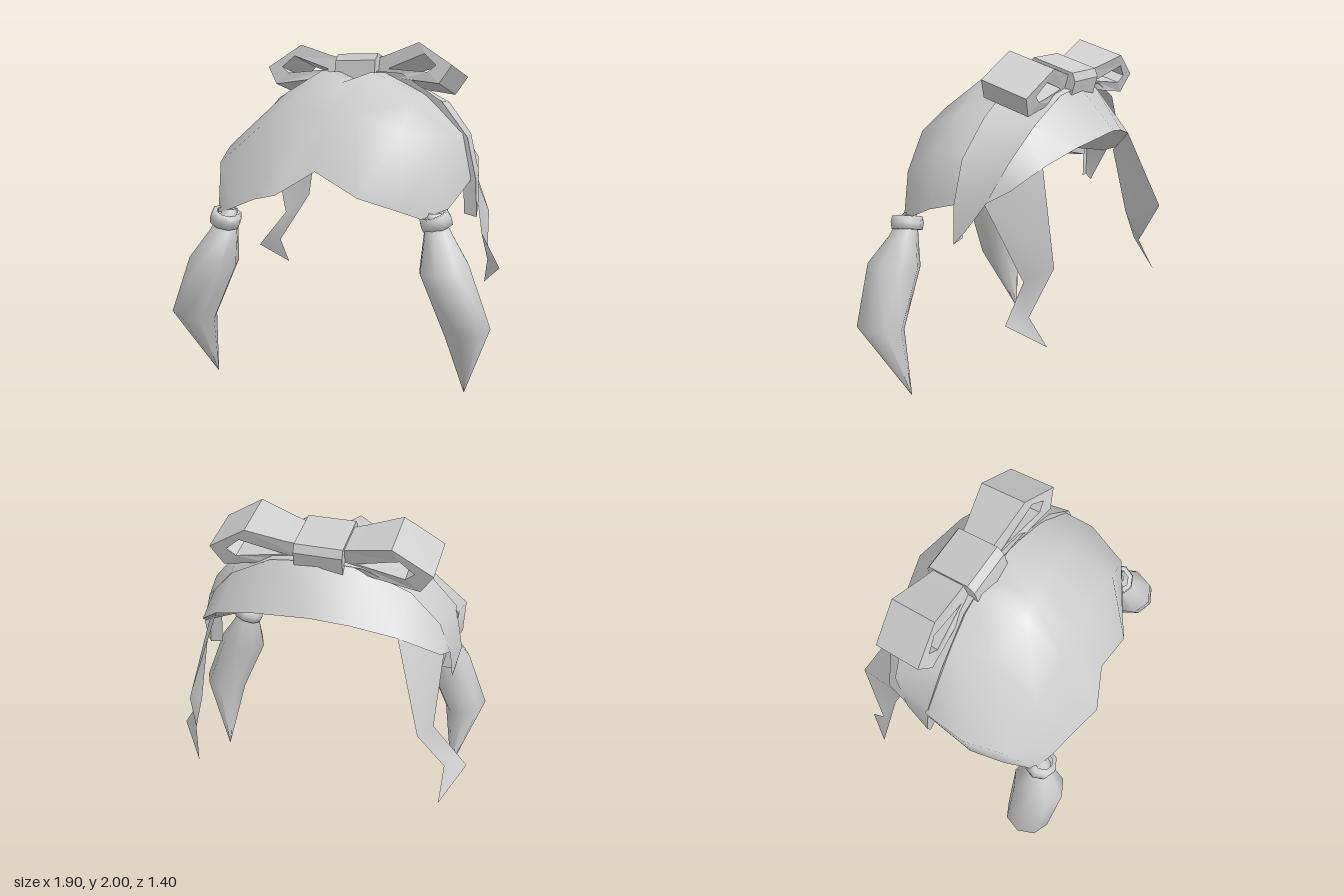
import * as THREE from 'three';

const hairGrey = new THREE.MeshStandardMaterial({ color: 0xcccccc, side: THREE.DoubleSide });
hairGrey.name = 'hairGrey';

function add(parent, name, geometry) {
  const m = new THREE.Mesh(geometry, hairGrey);
  m.name = name;
  parent.add(m);
  return m;
}

function surface(points, index) {
  const g = new THREE.BufferGeometry();
  g.setAttribute('position', new THREE.Float32BufferAttribute(points.flat(), 3));
  g.setIndex(index);
  g.computeVertexNormals();
  return g;
}

// Smooth sheet through rows of points, each row the same length
function loft(rows, closed = false) {
  const n = rows[0].length, index = [];
  for (let r = 0; r < rows.length - 1; r++) {
    for (let c = 0; c < (closed ? n : n - 1); c++) {
      const a = r * n + c, b = r * n + (c + 1) % n;
      index.push(a, a + n, b, b, a + n, b + n);
    }
  }
  return surface(rows.flat(), index);
}

// Fan of triangles from a centre point to a line of points
function fan(centre, line) {
  const index = [];
  for (let i = 1; i < line.length; i++) index.push(0, i + 1, i);
  return surface([centre, ...line], index);
}

// Arches from right to left, running from the crown to the fringe
const capRows = [
  [[-.75, 1.2, -.13], [-.78, 1.42, -.13], [-.45, 1.7, -.16], [-.16, 1.82, -.18], [-.04, 1.77, -.18],
    [.13, 1.82, -.17], [.41, 1.69, -.14], [.64, 1.48, -.08], [.7, 1.22, -.05]],
  [[-.79, 1.17, .15], [-.8, 1.37, .12], [-.42, 1.7, .1], [-.16, 1.84, .14], [-.04, 1.77, .13],
    [.13, 1.83, .1], [.4, 1.66, .12], [.64, 1.48, .12], [.69, 1.16, .15]],
  [[-.74, 1.1, .34], [-.73, 1.3, .36], [-.45, 1.52, .38], [-.2, 1.62, .39], [-.04, 1.6, .37],
    [.16, 1.61, .38], [.4, 1.52, .38], [.6, 1.33, .35], [.66, 1.09, .29]],
  [[-.67, 1.02, .5], [-.55, 1.06, .55], [-.38, 1.13, .6], [-.22, 1.17, .65], [-.02, 1.3, .56],
    [.24, 1.17, .58], [.42, 1.1, .48], [.55, 1.05, .42], [.65, 1.06, .36]],
];

// Hair band: front and back edges of the arch
const bandFront = [[-.78, 1.06, -.13], [-.81, 1.2, -.12], [-.76, 1.46, -.12], [-.58, 1.66, -.13], [-.3, 1.82, -.15],
  [-.04, 1.84, -.15], [.24, 1.82, -.12], [.5, 1.66, -.09], [.67, 1.46, -.05], [.73, 1.22, -.03], [.74, 1, -.03]];
const bandBack = [[-.77, 1.03, -.17], [-.76, 1.24, -.28], [-.7, 1.46, -.37], [-.54, 1.64, -.4], [-.28, 1.76, -.42],
  [-.04, 1.78, -.42], [.22, 1.76, -.41], [.46, 1.64, -.38], [.62, 1.46, -.31], [.7, 1.24, -.21], [.73, 1.08, -.1]];

// Back hair: upper edge under the band, lower free edge
const backTop = [[-.74, 1.27, -.17], [-.73, 1.42, -.25], [-.54, 1.62, -.32], [-.28, 1.76, -.38], [-.04, 1.78, -.4],
  [.22, 1.76, -.38], [.47, 1.62, -.3], [.63, 1.44, -.2], [.69, 1.24, -.07]];
const backRim = [[-.76, 1.24, -.26], [-.72, 1.3, -.42], [-.5, 1.43, -.53], [-.25, 1.5, -.58], [-.04, 1.54, -.62],
  [.3, 1.5, -.55], [.53, 1.43, -.46], [.66, 1.32, -.34], [.71, 1.22, -.17]];

function addPigtail(parent, side, dy, dz) {
  const group = new THREE.Group();
  group.name = side > 0 ? 'leftPigtail' : 'rightPigtail';
  // Rings: centre x, y, centre z, radius x, radius z
  const rings = [[.6, 1.08, .35, .04, .04], [.615, 1.03, .36, .065, .065], [.635, .96, .37, .085, .085],
    [.68, .79, .41, .14, .16], [.82, .45, .42, .13, .14], [.765, .04, .26, .002, .002]];
  const sides = 8;
  const rows = rings.map(([cx, y, cz, rx, rz]) => Array.from({ length: sides }, (_, i) => {
    const a = i / sides * Math.PI * 2;
    const px = cx + Math.cos(a) * rx;
    // Middle rings dip towards the inside
    const tilt = y < .9 && y > .1 ? Math.cos(a) * .03 : 0;
    return [side * px, y + tilt + dy, cz + Math.sin(a) * rz + dz];
  }));
  add(group, 'pigtailHair', loft(rows, true));
  // Hair tie
  const profile = [[.06, -.038], [.088, -.038], [.095, 0], [.088, .038], [.06, .038]].map(p => new THREE.Vector2(...p));
  const tie = add(group, 'hairTie', new THREE.LatheGeometry(profile, 8));
  tie.position.set(side * .615, 1.03 + dy, .355 + dz * 1.2);
  tie.rotation.set(.15, 0, side * .33);
  parent.add(group);
}

function addBow(parent) {
  const bow = new THREE.Group();
  bow.name = 'bow';
  bow.position.set(-.065, 1.84, -.14);
  bow.rotation.set(-.27, -.07, 0);
  const depth = .29;
  const outline = [[.08, .07], [.2, .1], [.4, .16], [.62, .02], [.55, -.09], [.3, -.055], [.08, -.03]];
  const hole = [[.2, .01], [.44, .09], [.52, .02], [.47, -.02]];
  for (const side of [1, -1]) {
    const pts = list => list.map(([x, y]) => new THREE.Vector2(side * x, y));
    const shape = new THREE.Shape(pts(outline));
    shape.holes.push(new THREE.Path(pts(hole)));
    const geometry = new THREE.ExtrudeGeometry(shape, { depth, bevelEnabled: false });
    // Gather the ribbon towards the knot
    const p = geometry.attributes.position;
    for (let i = 0; i < p.count; i++) {
      const width = THREE.MathUtils.mapLinear(Math.min(Math.abs(p.getX(i)), .4), .08, .4, .65, 1);
      p.setZ(i, (p.getZ(i) - depth / 2) * width - depth / 2);
    }
    geometry.computeVertexNormals();
    add(bow, side > 0 ? 'leftBowLoop' : 'rightBowLoop', geometry);
  }
  // Knot with chamfered edges, wrapped around the middle
  const k = [[.01, -.09], [.02, .05], [-.01, .1], [-.27, .1], [-.3, .06], [-.3, -.06]];
  const knot = add(bow, 'bowKnot', new THREE.ExtrudeGeometry(
    new THREE.Shape(k.map(([z, y]) => new THREE.Vector2(-z, y))), { depth: .27, bevelEnabled: false }));
  knot.rotation.y = Math.PI / 2;
  knot.position.x = -.135;
  parent.add(bow);
}

export function createModel() {
  const model = new THREE.Group();
  model.name = 'hairpiece';

  // Front hair and its closed underside
  const crown = [-.05, 1.4, .02];
  add(model, 'frontHair', loft(capRows));
  const last = capRows.length - 1;
  const rim = [...capRows[0], ...capRows.slice(1, last).map(r => r[8]),
    ...[...capRows[last]].reverse(), ...capRows.slice(1, last).reverse().map(r => r[0]), capRows[0][0]];
  add(model, 'frontHairUnderside', fan(crown, rim));

  // Band of hair with a front lip turned in to the front hair
  const lip = bandFront.map(([x, y, z]) => [-.04 + (x + .04) * .9, 1.15 + (y - 1.15) * .9, z - .01]);
  add(model, 'hairBand', loft([bandFront, bandBack]));
  add(model, 'hairBandLip', loft([lip, bandFront]));

  // Back hair, its underside running up to the same point
  add(model, 'backHair', loft([backTop, backRim]));
  add(model, 'backHairUnderside', fan(crown, backRim));

  // Trailing locks, each ending in a hooked tip
  const lock = [0, 2, 1, 1, 2, 3, 2, 4, 3, 3, 4, 5, 4, 6, 5];
  add(model, 'rightLock', surface([[-.5, 1.43, -.53], [-.73, 1.26, -.34], [-.65, .95, -.7], [-.71, .86, -.45],
    [-.79, .65, -.52], [-.91, .62, -.44], [-.78, .47, -.63]], lock));
  add(model, 'leftLock', surface([[.53, 1.43, -.46], [.68, 1.23, -.19], [.67, .94, -.6], [.67, .83, -.42],
    [.7, .65, -.47], [.8, .62, -.38], [.66, .48, -.56]], lock));

  addPigtail(model, 1, 0, 0);
  addPigtail(model, -1, -.035, .13);
  addBow(model);
  return model;
}
